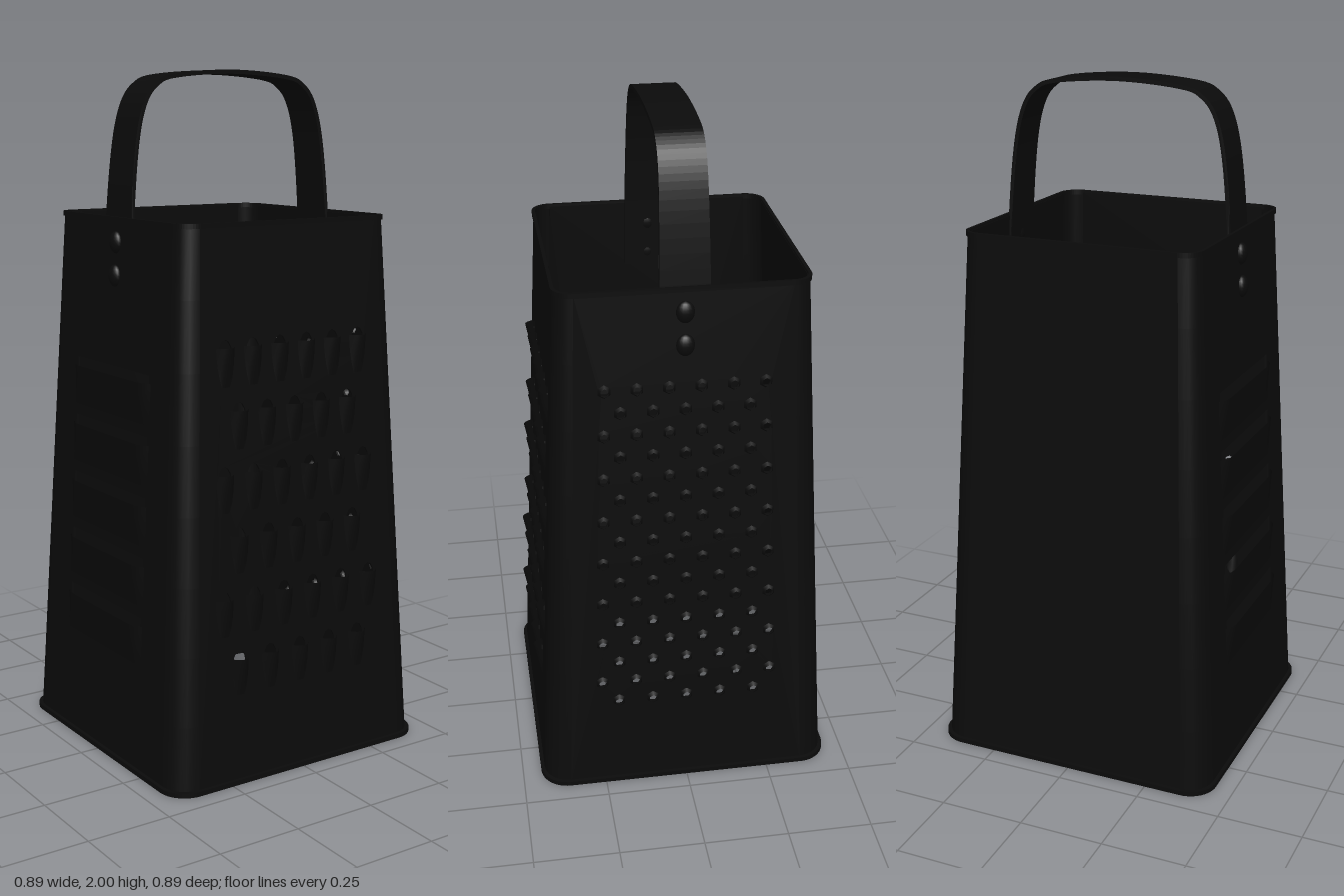
import * as THREE from 'three';
import { mergeGeometries } from 'three/addons/utils/BufferGeometryUtils.js';

const HEIGHT = 1.58, BOTTOM = 0.434, TOP = 0.352;   // half widths of the body
const R_BOTTOM = 0.075, R_TOP = 0.052;              // corner radii
const WALL = 0.006;
const TILT = Math.atan((BOTTOM - TOP) / HEIGHT);
const SLANT = Math.hypot(HEIGHT, BOTTOM - TOP);

const material = new THREE.MeshStandardMaterial({ color: 0x0b0b0b, side: THREE.DoubleSide });

function addMesh(parent, name, geometry) {
  const mesh = new THREE.Mesh(geometry, material);
  mesh.name = name;
  parent.add(mesh);
  return mesh;
}

// Rounded square outline with half width s and corner radius r
function roundedSquare(PathType, s, r) {
  const p = new PathType(), c = s - r;
  for (let i = 0; i < 4; i++) {
    const a = i * Math.PI / 2, k = Math.PI / 4;
    const q = a + k;
    p.absarc(c * Math.SQRT2 * Math.cos(q), c * Math.SQRT2 * Math.sin(q), r, a, a + Math.PI / 2, false);
  }
  p.closePath();
  return p;
}

// Folded rim: a thin rounded square ring
function rim(outer, inner, r, height, y) {
  const shape = roundedSquare(THREE.Shape, outer, r);
  shape.holes.push(roundedSquare(THREE.Path, inner, r - (outer - inner)));
  return new THREE.ExtrudeGeometry(shape, { depth: height, bevelEnabled: false, curveSegments: 6 })
    .rotateX(-Math.PI / 2).translate(0, y, 0);
}

// Raised scoop: lip at y = 0 standing out by d, sinking into the wall at y = -h
function scoop(w, h, d, squareness, taper) {
  const g = new THREE.PlaneGeometry(w, h, squareness > 4 ? 24 : 8, 4);
  const p = g.attributes.position;
  for (let i = 0; i < p.count; i++) {
    const u = Math.abs(2 * p.getX(i) / w), v = 0.5 - p.getY(i) / h;
    p.setXYZ(i, p.getX(i) * (1 - taper * v * v), -v * h, d * (1 - v) * (1 - u ** squareness));
  }
  g.computeVertexNormals();
  return g;
}

// Staggered positions: alternate rows of six and five
function staggered(rows, yTop, yBottom, sTop, sBottom) {
  const spots = [];
  for (let i = 0; i < rows; i++) {
    const t = i / (rows - 1), n = i % 2 ? 5 : 6;
    const s = THREE.MathUtils.lerp(sTop, sBottom, t), y = THREE.MathUtils.lerp(yTop, yBottom, t);
    for (let j = 0; j < n; j++) spots.push([(j - (n - 1) / 2) * s, y]);
  }
  return spots;
}

function ellipseHole(x, y, rx, ry) {
  return new THREE.Path().absellipse(x, y, rx, ry, 0, Math.PI * 2, true);
}

function slotHole(x, y, w, h) {
  return new THREE.Path([[-1, -1], [-1, 1], [1, 1], [1, -1]]
    .map(([a, b]) => new THREE.Vector2(x + a * w / 2, y + b * h / 2)));
}

// One sloping side with its holes and the teeth around them
function side(name, angle, spots = [], hole = null, tooth = null, segments = 6) {
  const turn = new THREE.Group(), face = new THREE.Group();
  turn.name = name;
  turn.rotation.y = angle;
  face.position.z = BOTTOM;
  face.rotation.x = -TILT;
  turn.add(face);
  const b = BOTTOM - R_BOTTOM, t = TOP - R_TOP;
  const shape = new THREE.Shape([[-b, 0], [b, 0], [t, SLANT], [-t, SLANT]]
    .map(([x, y]) => new THREE.Vector2(x, y)));
  for (const [x, y] of spots) shape.holes.push(hole(x, y));
  addMesh(face, name + 'Panel', new THREE.ExtrudeGeometry(shape,
    { depth: WALL, bevelEnabled: false, curveSegments: segments }).translate(0, 0, -WALL));
  if (tooth) {
    addMesh(face, name + 'Teeth', mergeGeometries(spots.map(([x, y]) => tooth.clone().translate(x, y, 0))));
  }
  return turn;
}

// Sheared quarter cone joining two sides
function corner() {
  const g = new THREE.CylinderGeometry(R_TOP, R_BOTTOM, HEIGHT, 6, 8, true, 0, Math.PI / 2);
  const p = g.attributes.position;
  for (let i = 0; i < p.count; i++) {
    const c = THREE.MathUtils.lerp(BOTTOM - R_BOTTOM, TOP - R_TOP, p.getY(i) / HEIGHT + 0.5);
    p.setXYZ(i, p.getX(i) + c, p.getY(i) + HEIGHT / 2, p.getZ(i) + c);
  }
  g.computeVertexNormals();
  return g;
}

// Bent strap, slightly wider where it meets the body
function strap() {
  const half = [[0.352, 1.38], [0.342, 1.59], [0.322, 1.79], [0.295, 1.9], [0.255, 1.955], [0.19, 1.98]];
  const path = [...half, [0, 1.993], ...half.map(([x, y]) => [-x, y]).reverse()];
  const curve = new THREE.SplineCurve(path.map(([x, y]) => new THREE.Vector2(x, y)));
  const outer = [], inner = [], n = 60, thick = 0.006;
  for (let i = 0; i <= n; i++) {
    const p = curve.getPoint(i / n), t = curve.getTangent(i / n);
    const normal = new THREE.Vector2(t.y, -t.x);
    outer.push(p.clone().addScaledVector(normal, thick));
    inner.unshift(p.clone().addScaledVector(normal, -thick));
  }
  const g = new THREE.ExtrudeGeometry(new THREE.Shape([...outer, ...inner]), { depth: 0.13, bevelEnabled: false });
  g.translate(0, 0, -0.065);
  const p = g.attributes.position;
  for (let i = 0; i < p.count; i++) {
    p.setZ(i, p.getZ(i) * (1 + 0.08 * (1 - THREE.MathUtils.smoothstep(p.getY(i), 1.5, 1.95))));
  }
  g.computeVertexNormals();
  return g;
}

export function createModel() {
  const model = new THREE.Group();
  model.name = 'boxGrater';

  // Coarse shredding side
  model.add(side('coarseSide', 0, staggered(6, 1.25, 0.37, 0.092, 0.105),
    (x, y) => ellipseHole(x, y - 0.02, 0.023, 0.042), scoop(0.06, 0.11, 0.027, 2, 0.5)));

  // Fine grating side with pierced nubs
  const nub = new THREE.CylinderGeometry(0.013, 0.02, 0.012, 6, 1, true)
    .rotateX(Math.PI / 2).translate(0, 0, 0.006);
  model.add(side('fineSide', Math.PI / 2, staggered(16, 1.3, 0.29, 0.09, 0.102),
    (x, y) => ellipseHole(x, y, 0.015, 0.015), nub, 3));

  // Slicing side with wide blades
  const slots = [1.14, 0.965, 0.79, 0.615, 0.44].map(y => [0, y]);
  model.add(side('slicingSide', -Math.PI / 2, slots,
    (x, y) => slotHole(x, y - 0.015, 0.41, 0.075), scoop(0.43, 0.12, 0.02, 14, 0)));

  // Plain back
  model.add(side('plainSide', Math.PI));

  // Rounded corners
  for (let i = 0; i < 4; i++) addMesh(model, 'corner', corner()).rotation.y = i * Math.PI / 2;

  // Rims
  addMesh(model, 'bottomRim', rim(0.444, 0.426, 0.083, 0.014, 0));
  addMesh(model, 'topRim', rim(0.357, 0.347, 0.057, 0.014, HEIGHT - 0.007));

  // Handle and its rivets
  addMesh(model, 'handle', strap());
  for (const s of [-1, 1]) {
    for (const y of [1.515, 1.42]) {
      const rivet = addMesh(model, 'rivet', new THREE.SphereGeometry(1, 16, 10));
      rivet.scale.set(0.018, 0.032, 0.026);
      rivet.position.set(s * (BOTTOM - y * Math.tan(TILT)), y, 0);
    }
  }
  return model;
}
